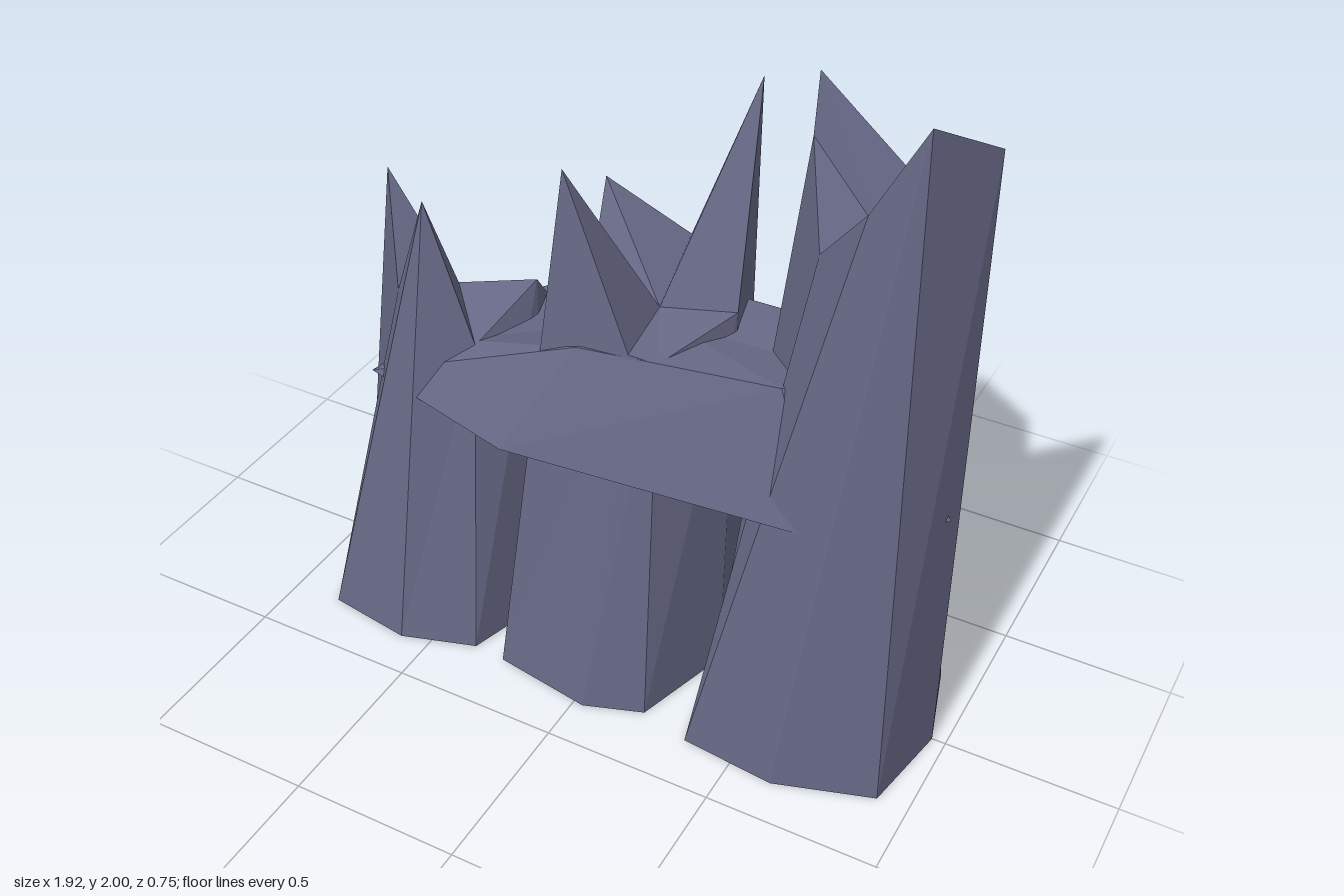
import * as THREE from 'three';

const stone = new THREE.MeshStandardMaterial({ color: 0x666885, flatShading: true });
stone.name = 'slate stone';

// Faceted solid from two rings listed counter-clockwise seen from above,
// closed by a fan to `peak` on top and a fan to the ring centre below.
function facetedSolid(name, base, top, peak) {
  const n = base.length;
  const mid = [0, 1, 2].map(k => base.reduce((sum, p) => sum + p[k], 0) / n);
  const pos = [];
  const tri = (a, b, c) => pos.push(...a, ...b, ...c);
  for (let i = 0; i < n; i++) {
    const j = (i + 1) % n;
    tri(base[i], base[j], top[j]);
    tri(base[i], top[j], top[i]);
    tri(top[i], top[j], peak);
    tri(base[j], base[i], mid);
  }
  const geo = new THREE.BufferGeometry();
  geo.setAttribute('position', new THREE.Float32BufferAttribute(pos, 3));
  geo.computeVertexNormals();
  const mesh = new THREE.Mesh(geo, stone);
  mesh.name = name;
  return mesh;
}

const atHeight = (y, ring) => ring.map(([x, z]) => [x, y, z]);

export function createModel() {
  const model = new THREE.Group();
  model.name = 'brokenPillars';

  // Tall broken pillar
  model.add(facetedSolid('tallPillar',
    atHeight(0, [[0.96, 0], [0.89, -0.25], [0.64, -0.32], [0.4, -0.23],
      [0.29, 0.04], [0.35, 0.34], [0.63, 0.37], [0.91, 0.28]]),
    [[0.95, 1.87, -0.03], [0.8, 1.36, -0.12], [0.68, 1.68, -0.16], [0.44, 1.9, -0.14],
      [0.49, 1.8, 0], [0.57, 1.55, 0.11], [0.72, 1.75, 0.2], [0.85, 2, 0.19]],
    [0.68, 1.6, 0.02]));

  // Middle broken pillar
  model.add(facetedSolid('middlePillar',
    atHeight(0, [[0.29, 0], [0.22, -0.28], [0, -0.38], [-0.25, -0.2],
      [-0.28, 0.05], [-0.27, 0.31], [0.03, 0.36], [0.2, 0.3]]),
    [[0.3, 1.22, -0.02], [0.26, 1.81, -0.21], [0.05, 1.27, -0.24], [-0.17, 1.43, -0.16],
      [-0.14, 1.15, 0], [-0.11, 1.63, 0.17], [0.1, 1.16, 0.21], [0.18, 1.15, 0.2]],
    [0.08, 1.18, 0]));

  // Short broken pillar
  model.add(facetedSolid('shortPillar',
    atHeight(0, [[-0.29, 0.03], [-0.35, -0.21], [-0.57, -0.34], [-0.88, -0.27],
      [-0.96, 0], [-0.85, 0.33], [-0.59, 0.37], [-0.37, 0.3]]),
    [[-0.3, 1.15, 0], [-0.35, 0.95, -0.18], [-0.52, 0.84, -0.23], [-0.72, 0.87, -0.16],
      [-0.79, 1.36, -0.02], [-0.66, 1.09, 0.15], [-0.53, 1.43, 0.19], [-0.4, 1, 0.17]],
    [-0.56, 1.06, 0]));

  // Sloped slab wedged through the pillars
  model.add(facetedSolid('wedgedSlab',
    atHeight(0.83, [[0.955, 0.05], [0.56, -0.25], [0.1, -0.28], [-0.36, -0.22],
      [-0.68, -0.08], [-0.73, 0.21], [-0.22, 0.35], [0.69, 0.28]]),
    [[0.7, 1.16, 0.02], [0.5, 1.18, -0.15], [0.1, 1.17, -0.16], [-0.26, 1.08, -0.17],
      [-0.5, 0.98, -0.05], [-0.5, 0.97, 0.14], [-0.05, 1.14, 0.22], [0.52, 1.18, 0.18]],
    [0.1, 1.16, 0.02]));

  return model;
}
